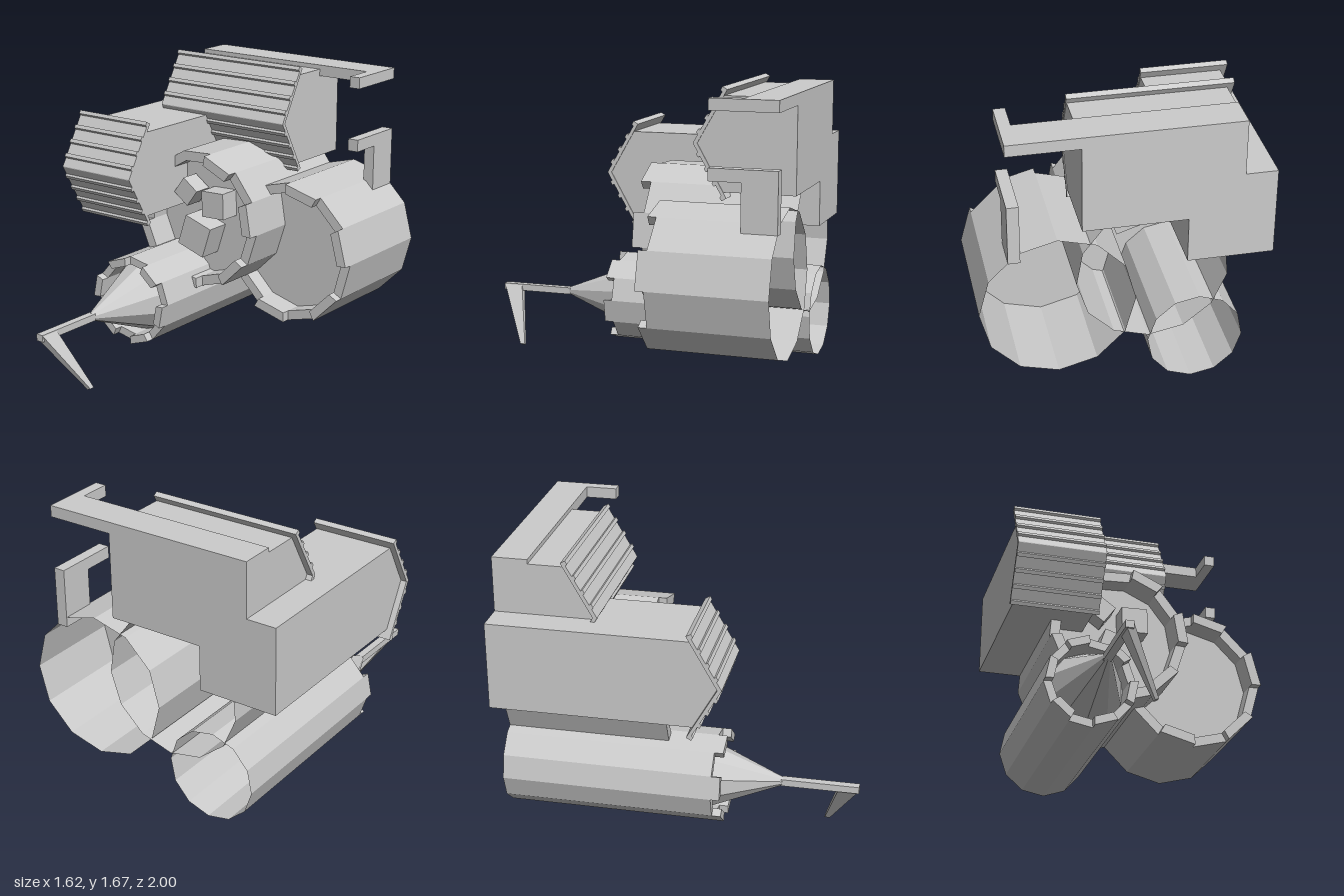
import * as THREE from 'three';

const mat = new THREE.MeshStandardMaterial({ color: 0xcccccc, flatShading: true });
const thin = new THREE.MeshStandardMaterial({ color: 0xcccccc, flatShading: true, side: THREE.DoubleSide });
const BACK = -1;

function add(parent, name, geometry, material = mat) {
  const mesh = new THREE.Mesh(geometry, material);
  mesh.name = name;
  parent.add(mesh);
  return mesh;
}

// Box given by its minimum and maximum corners
function box(parent, name, [x0, y0, z0], [x1, y1, z1]) {
  const g = new THREE.BoxGeometry(x1 - x0, y1 - y0, z1 - z0);
  return add(parent, name, g.translate((x0 + x1) / 2, (y0 + y1) / 2, (z0 + z1) / 2));
}

// Extrude a (z, y) side profile across x
function sideExtrude(points, x0, x1) {
  const shape = new THREE.Shape(points.map(([z, y]) => new THREE.Vector2(z, y)));
  return new THREE.ExtrudeGeometry(shape, { depth: x1 - x0, bevelEnabled: false })
    .rotateY(-Math.PI / 2).translate(x1, 0, 0);
}

// Hollow barrel: open shell at the back, recessed floor and notched rim at the front
function barrel({ name, x, y, r, rIn, n, phase, front, tooth, floor }) {
  const group = new THREE.Group();
  group.name = name;
  group.position.set(x, y, 0);
  const step = (2 * Math.PI) / n;
  const at = (radius, i) => new THREE.Vector2(
    radius * Math.cos(phase + i * step), radius * Math.sin(phase + i * step));
  const loop = (radius) => Array.from({ length: n }, (_, i) => at(radius, i));
  const base = front - tooth;

  const shell = new THREE.CylinderGeometry(r, r, floor - BACK, n, 1, true, phase + Math.PI / 2)
    .rotateX(Math.PI / 2).translate(0, 0, (floor + BACK) / 2);
  add(group, name + 'Shell', shell, thin);

  const ring = new THREE.Shape(loop(r));
  ring.holes.push(new THREE.Path(loop(rIn).reverse()));
  add(group, name + 'Rim', new THREE.ExtrudeGeometry(ring, { depth: base - floor, bevelEnabled: false })
    .translate(0, 0, floor));
  add(group, name + 'Floor', new THREE.CircleGeometry(rIn, n, phase).translate(0, 0, floor), thin);

  // Every other rim segment stands forward, counted clockwise
  for (let i = 0; i < n - 1; i += 2) {
    const quad = new THREE.Shape([at(rIn, -i), at(r, -i), at(r, 1 - i), at(rIn, 1 - i)]);
    add(group, name + 'Tooth', new THREE.ExtrudeGeometry(quad, { depth: tooth, bevelEnabled: false })
      .translate(0, 0, base));
  }
  return group;
}

// Ribbed shutter folded at 60 degrees around a pointed front
function shutter(tipZ, tipY, length, x0, x1, slats) {
  const c = Math.cos(Math.PI / 3), s = Math.sin(Math.PI / 3);
  const point = (t, depth, sign) => [tipZ - t * c - depth * s, tipY + sign * (t * s - depth * c)];
  const half = (sign) => {
    const pts = [];
    const pitch = length / slats;
    for (let k = 0; k < slats; k++) {
      const a = k * pitch;
      pts.push(point(a + (k ? 0 : 0.01), 0.013, sign), point(a + pitch * 0.7, 0.013, sign),
        point(a + pitch * 0.76, 0, sign), point(a + pitch, 0, sign));
    }
    pts.push(point(length, 0.032, sign));
    return pts;
  };
  const inner = [tipZ - 0.04, tipY];
  return sideExtrude([...half(-1).reverse(), ...half(1), inner], x0, x1);
}

// Long housing with a wedge-shaped front
function housing(y0, y1, tipZ, x0, x1) {
  const mid = (y0 + y1) / 2;
  const z = tipZ - (y1 - mid) / Math.sqrt(3);
  return sideExtrude([[BACK, y0], [z, y0], [tipZ, mid], [z, y1], [BACK, y1]], x0, x1);
}

export function createModel() {
  const model = new THREE.Group();
  model.name = 'model';
  const rad = THREE.MathUtils.degToRad;

  // Three barrels
  const small = barrel({ name: 'smallBarrel', x: -0.363, y: 0.322, r: 0.263, rIn: 0.215, n: 12,
    phase: rad(34), front: 0.25, tooth: 0.05, floor: 0.09 });
  const middle = barrel({ name: 'middleBarrel', x: -0.12, y: 0.785, r: 0.412, rIn: 0.352, n: 13,
    phase: rad(51.3), front: -0.07, tooth: 0.06, floor: -0.25 });
  const large = barrel({ name: 'largeBarrel', x: 0.39, y: 0.63, r: 0.42, rIn: 0.362, n: 12,
    phase: rad(60), front: -0.27, tooth: 0.05, floor: -0.42 });
  model.add(small, middle, large);

  // Cone, arm and hook on the small barrel
  add(model, 'cone', new THREE.CylinderGeometry(0.022, 0.215, 0.48, 10)
    .rotateX(Math.PI / 2).translate(-0.363, 0.32, 0.33));
  box(model, 'hookArm', [-0.385, 0.3, 0.56], [-0.34, 0.34, 1]);
  const hook = new THREE.BoxGeometry(2, 2, 2);
  const p = hook.attributes.position;
  for (let i = 0; i < p.count; i++) {
    const sx = p.getX(i), sz = p.getZ(i);
    if (p.getY(i) > 0) p.setXYZ(i, -0.362 + sx * 0.02, 0.325 + sx * 0.012, 0.942 + sz * 0.057);
    else p.setXYZ(i, -0.168 + sx * 0.01, 0.005 + sx * 0.005, 0.805 + sz * 0.015);
  }
  hook.computeVertexNormals();
  add(model, 'hook', hook);

  // Blocks inside the middle barrel: x, y, size, turn, front z
  for (const [x, y, size, turn, z] of [
    [-0.22, 0.935, 0.12, -36, -0.12], [-0.02, 0.885, 0.155, 2, -0.12], [-0.14, 0.68, 0.19, -18, -0.1]]) {
    const block = add(model, 'block', new THREE.BoxGeometry(size, size, size));
    block.position.set(x, y, z - size / 2);
    block.rotation.z = rad(turn);
  }

  // Housings with ribbed shutters
  add(model, 'lowerHousing', housing(0.83, 1.33, 0.29, -0.775, -0.305));
  add(model, 'lowerShutter', shutter(0.312, 1.08, 0.36, -0.81, -0.3, 4));
  add(model, 'upperHousing', housing(1.09, 1.62, -0.42, -0.6, 0.26));
  add(model, 'upperShutter', shutter(-0.4, 1.355, 0.363, -0.635, 0.265, 4));

  // Top rail and side bracket
  box(model, 'topRail', [-0.6, 1.58, BACK], [0.65, 1.645, -0.8]);
  box(model, 'topRailArm', [0.585, 1.58, -0.8], [0.65, 1.645, -0.62]);
  box(model, 'bracketPost', [0.585, 0.94, BACK], [0.65, 1.28, -0.8]);
  box(model, 'bracketArm', [0.585, 1.21, -0.8], [0.65, 1.28, -0.62]);
  return model;
}
